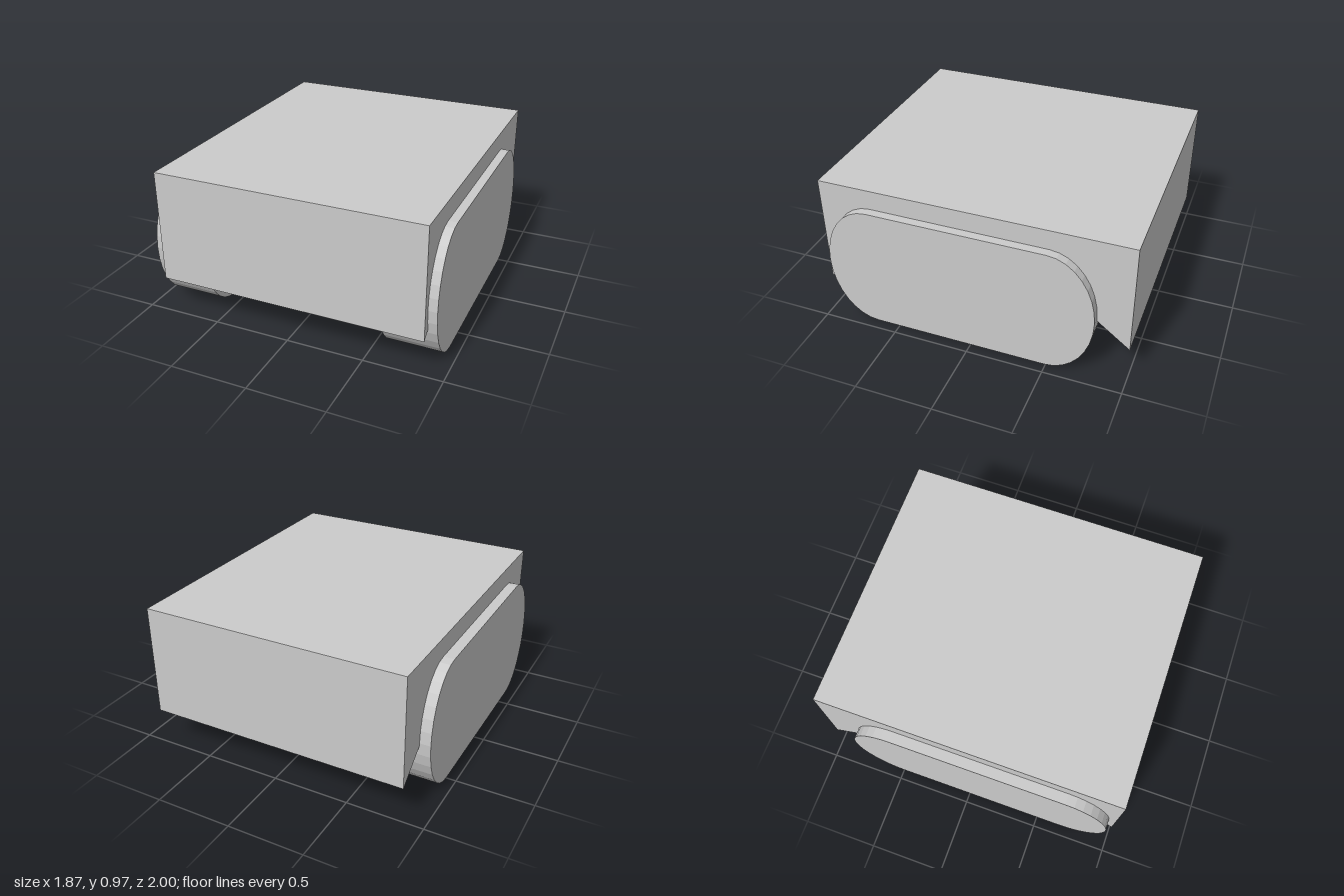
import * as THREE from 'three';

const material = new THREE.MeshStandardMaterial({ color: 0xcccccc, flatShading: true });

// Extrude a side profile of [z, y] points across the width from x0 to x1
function sidePart(name, points, x0, x1) {
  const shape = new THREE.Shape(points.map(([z, y]) => new THREE.Vector2(-z, y)));
  const geometry = new THREE.ExtrudeGeometry(shape, { depth: x1 - x0, bevelEnabled: false });
  geometry.rotateY(Math.PI / 2).translate(x0, 0, 0);
  const mesh = new THREE.Mesh(geometry, material);
  mesh.name = name;
  return mesh;
}

// Track outline: straight runs joined by half ellipses
function trackProfile() {
  const points = [];
  const steps = 16, radiusZ = 0.3, radiusY = 0.42, centreZ = 0.083, halfRun = 0.575;
  for (const end of [1, -1]) {
    for (let i = 0; i <= steps; i++) {
      const a = -Math.PI / 2 + (i / steps) * Math.PI;
      points.push([
        centreZ + end * (halfRun + radiusZ * Math.cos(a)),
        radiusY + end * radiusY * Math.sin(a),
      ]);
    }
  }
  return points;
}

export function createModel() {
  const group = new THREE.Group();
  group.name = 'trackedHull';

  // Hull with overhanging end skirts and a shallow belly between them
  const half = [[1, 0.97], [1, 0.237], [0.775, 0.413], [0.5, 0.335]];
  const mirrored = half.map(([z, y]) => [-z, y]).reverse();
  group.add(sidePart('hull', [...half, ...mirrored], -0.865, 0.875));

  // Track on each side
  const track = trackProfile();
  group.add(sidePart('leftTrack', track, 0.58, 0.932));
  group.add(sidePart('rightTrack', track, -0.935, -0.583));

  return group;
}
